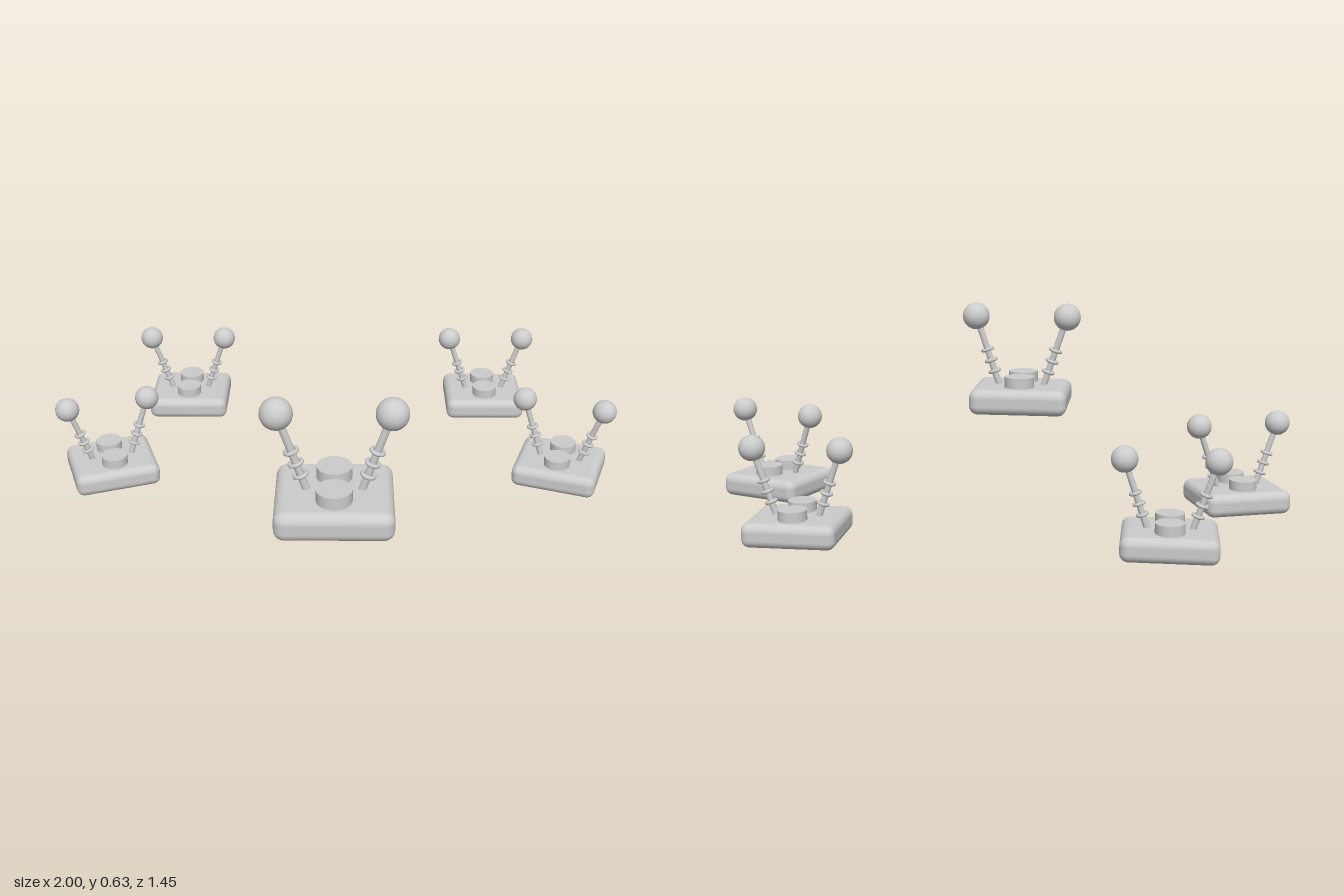
import * as THREE from 'three';
import { RoundedBoxGeometry } from 'three/addons/geometries/RoundedBoxGeometry.js';

const material = new THREE.MeshStandardMaterial({ color: 0xcccccc });

function addPart(parent, name, geometry, x, y, z) {
  const mesh = new THREE.Mesh(geometry, material);
  mesh.name = name;
  mesh.position.set(x, y, z);
  parent.add(mesh);
  return mesh;
}

// Leaning rod with three collars and a ball tip, base at the group's origin
function createAntenna(side) {
  const antenna = new THREE.Group();
  antenna.name = side > 0 ? 'leftAntenna' : 'rightAntenna';
  const length = 0.305;
  addPart(antenna, 'rod', new THREE.CylinderGeometry(0.0125, 0.0125, length, 20), 0, length / 2, 0);
  for (const y of [0.075, 0.12, 0.165]) {
    const ring = addPart(antenna, 'collar', new THREE.TorusGeometry(0.02, 0.007, 10, 28), 0, y, 0);
    ring.rotation.x = Math.PI / 2;
  }
  addPart(antenna, 'ball', new THREE.SphereGeometry(0.053, 32, 24), 0, length, 0);
  antenna.position.set(side * 0.083, 0.08, 0);
  antenna.rotation.z = -side * 0.324;
  return antenna;
}

// Rounded base, two round studs and a mirrored pair of antennae
function createUnit(name) {
  const unit = new THREE.Group();
  unit.name = name;
  addPart(unit, 'base', new RoundedBoxGeometry(0.38, 0.1, 0.342, 6, 0.035), 0, 0.05, 0);
  for (const z of [-0.071, 0.071]) {
    addPart(unit, 'stud', new THREE.CylinderGeometry(0.058, 0.058, 0.06, 40), 0, 0.112, z);
  }
  for (const side of [-1, 1]) unit.add(createAntenna(side));
  return unit;
}

export function createModel() {
  const model = new THREE.Group();
  model.name = 'antennaUnits';

  // Large raised unit at the front
  const main = createUnit('mainUnit');
  main.position.set(0, 0.213, 0.554);
  model.add(main);

  // Smaller units: a turned pair at the sides and a straight pair behind
  for (const side of [-1, 1]) {
    const prefix = side > 0 ? 'left' : 'right';
    for (const [label, x, z, turn] of [['SideUnit', 0.82, -0.038, 0.34], ['BackUnit', 0.59, -0.592, 0]]) {
      const unit = createUnit(prefix + label);
      unit.scale.setScalar(0.795);
      unit.position.set(side * x, 0.002, z);
      unit.rotation.y = -side * turn;
      model.add(unit);
    }
  }
  return model;
}
